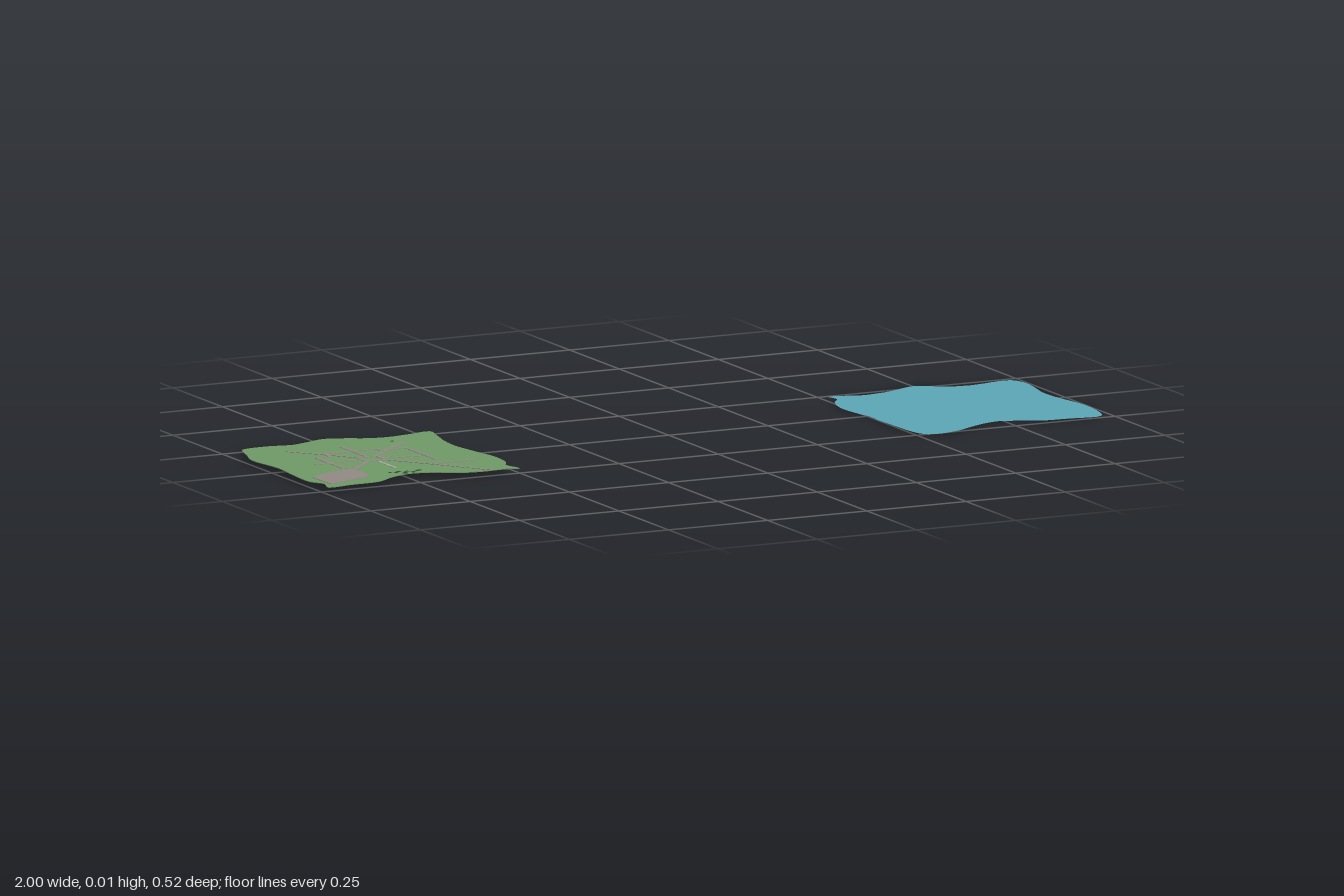
import * as THREE from 'three';

const SHEET_X = 0.743, LAND_Y = 0.0095, LAND_T = 0.0015;
const mat = (color, side = THREE.FrontSide) => new THREE.MeshStandardMaterial({ color, side });

// Outlines are [x, z] in thousandths, relative to the centre of each sheet
const LAND = [
  [-217, -227], [-150, -236], [-93, -227], [-50, -240], [2, -258], [50, -243], [93, -222], [140, -214], [195, -222], [257, -233],
  [250, -182], [236, -115], [232, -56], [242, 20], [255, 104], [248, 170], [233, 200], [243, 248],
  [210, 240], [152, 243], [93, 232], [50, 205], [-3, 192], [-57, 210], [-110, 245], [-180, 250], [-243, 257],
  [-233, 215], [-251, 180], [-249, 85], [-243, 3], [-255, -104], [-238, -165], [-230, -195],
];
const WATER = [
  [-225, -230], [-123, -225], [-48, -241], [0, -258], [48, -244], [100, -222], [155, -217], [235, -228], [252, -200],
  [251, -155], [235, -67], [236, 20], [254, 110], [247, 195], [230, 232], [160, 238], [91, 235], [53, 205], [0, 190],
  [-43, 203], [-96, 230], [-144, 254], [-215, 252], [-236, 220], [-246, 85], [-241, 3], [-257, -104], [-240, -170], [-219, -200],
];

// Closed shape through the points, smoothed with a spline
function smoothShape(points) {
  const curve = new THREE.CatmullRomCurve3(
    points.map(([x, z]) => new THREE.Vector3(x / 1000, -z / 1000, 0)), true, 'centripetal');
  return new THREE.Shape(curve.getPoints(points.length * 4).slice(0, -1).map(p => new THREE.Vector2(p.x, p.y)));
}

function plainShape(points) {
  return new THREE.Shape(points.map(([x, z]) => new THREE.Vector2(x / 1000, -z / 1000)));
}

// Shape laid flat with a given thickness
function slab(name, shape, depth, y, material) {
  const geo = new THREE.ExtrudeGeometry(shape, { depth, bevelEnabled: false });
  geo.rotateX(-Math.PI / 2);
  const mesh = new THREE.Mesh(geo, material);
  mesh.name = name;
  mesh.position.y = y;
  return mesh;
}

// Run of flat strips along a line of points
function path(name, points, width, y, material) {
  const group = new THREE.Group();
  group.name = name;
  for (let i = 1; i < points.length; i++) {
    const [x0, z0] = points[i - 1], [x1, z1] = points[i];
    const length = Math.hypot(x1 - x0, z1 - z0) / 1000;
    const strip = new THREE.Mesh(new THREE.BoxGeometry(length + width * 0.6, 0.0008, width), material);
    strip.position.set((x0 + x1) / 2000, y, (z0 + z1) / 2000);
    strip.rotation.y = -Math.atan2(z1 - z0, x1 - x0);
    group.add(strip);
  }
  return group;
}

export function createModel() {
  const model = new THREE.Group();
  model.name = 'landAndWater';

  // Green land with its details
  const land = new THREE.Group();
  land.name = 'land';
  land.position.x = -SHEET_X;
  const top = LAND_Y + LAND_T;
  land.add(slab('ground', smoothShape(LAND), LAND_T, LAND_Y, mat(0x6f9a66)));

  // Path network: small central square, spokes and a broken outer ring
  const paving = mat(0x928b84);
  const routes = [
    ['centralSquare', [[-28, -24], [18, -24], [18, 24], [-28, 24], [-28, -24]]],
    ['northSpoke', [[-5, -24], [-5, -155]]],
    ['northWestSpoke', [[-28, -24], [-75, -85], [-138, -160]]],
    ['northEastSpoke', [[18, -24], [85, -90], [148, -146]]],
    ['southEastSpoke', [[18, 24], [90, 118], [178, 238]]],
    ['southWestSpoke', [[-28, 24], [-98, 100]]],
    ['westSpoke', [[-28, 4], [-147, 4]]],
    ['eastSpoke', [[18, 4], [110, 18]]],
    ['northRing', [[-78, -96], [55, -100], [58, -80], [122, -80]]],
    ['eastRing', [[122, -80], [122, 72]]],
    ['westRing', [[-78, -96], [-78, -62], [-113, -58], [-113, 72]]],
    ['southRing', [[-113, 72], [-70, 76]]],
    ['eastBranch', [[96, 114], [203, 114]]],
  ];
  for (const [name, points] of routes) land.add(path(name, points, 0.009, top + 0.0004, paving));

  // Dashed southern walk
  const stone = mat(0xb0aca4);
  for (let i = 0; i < 5; i++) {
    const z = 40 + i * 17;
    land.add(path('steppingStone', [[-5, z], [-5, z + 8]], 0.008, top + 0.0004, stone));
  }

  // Paved yard in the front corner
  land.add(slab('pavedYard', plainShape([
    [-225, 140], [-175, 108], [-103, 86], [-92, 140], [-108, 192], [-160, 205], [-222, 228],
  ]), 0.0008, top, paving));

  // Low dark bushes near the front bay, and one by the north-east path
  const leaf = mat(0x2f4a2d);
  const bushes = [[-42, 166], [-30, 172], [-20, 164], [-8, 176], [0, 168], [10, 180], [22, 172], [32, 166], [-14, 186], [128, -164]];
  bushes.forEach(([x, z], i) => {
    const bush = new THREE.Mesh(new THREE.ConeGeometry(0.005 + (i % 3) * 0.001, 0.0015, 7), leaf);
    bush.name = 'bush';
    bush.position.set(x / 1000, top + 0.00075, z / 1000);
    land.add(bush);
  });
  model.add(land);

  // Blue water sheet with a barely rippled rim
  const geo = new THREE.ShapeGeometry(smoothShape(WATER));
  geo.rotateX(-Math.PI / 2);
  const pos = geo.attributes.position;
  for (let i = 0; i < pos.count; i++) {
    pos.setY(i, 0.0015 + 0.0015 * Math.sin(pos.getX(i) * 30 + pos.getZ(i) * 18));
  }
  geo.computeBoundingBox();
  geo.translate(0, -geo.boundingBox.min.y, 0);
  const water = new THREE.Mesh(geo, mat(0x5ca7b6, THREE.DoubleSide));
  water.name = 'water';
  water.position.x = SHEET_X;
  model.add(water);

  return model;
}
